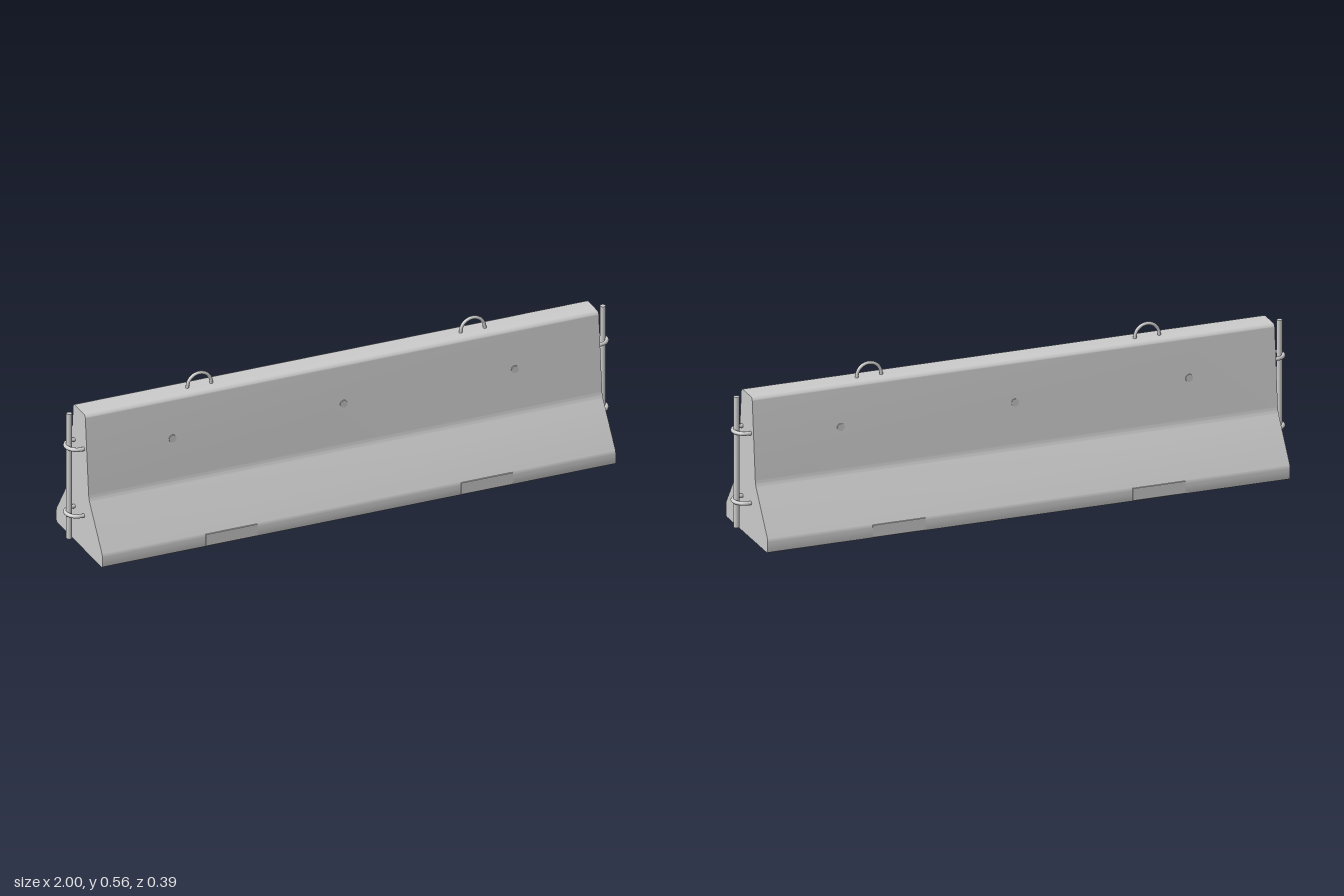
import * as THREE from 'three';
import { toCreasedNormals } from 'three/addons/utils/BufferGeometryUtils.js';

const material = new THREE.MeshStandardMaterial({ color: 0xcccccc });

function addMesh(parent, name, geometry, x = 0, y = 0, z = 0) {
  const mesh = new THREE.Mesh(geometry, material);
  mesh.name = name;
  mesh.position.set(x, y, z);
  parent.add(mesh);
  return mesh;
}

// Closed shape with every corner [x, y, fillet length] rounded off
function roundedShape(corners) {
  const shape = new THREE.Shape();
  const n = corners.length;
  corners.forEach(([x, y, r], i) => {
    const here = new THREE.Vector2(x, y);
    const towards = ([px, py]) =>
      new THREE.Vector2(px, py).sub(here).setLength(r).add(here);
    const a = towards(corners[(i + n - 1) % n]);
    const b = towards(corners[(i + 1) % n]);
    if (i === 0) shape.moveTo(a.x, a.y);
    else shape.lineTo(a.x, a.y);
    shape.quadraticCurveTo(x, y, b.x, b.y);
  });
  shape.closePath();
  return shape;
}

// Bent rod: half circle with two straight legs pointing down
function archGeometry(radius, leg, rod) {
  const points = [new THREE.Vector3(radius, -leg, 0), new THREE.Vector3(radius, -leg / 2, 0)];
  for (let i = 0; i <= 8; i++) {
    const a = (i / 8) * Math.PI;
    points.push(new THREE.Vector3(Math.cos(a) * radius, Math.sin(a) * radius, 0));
  }
  points.push(new THREE.Vector3(-radius, -leg / 2, 0), new THREE.Vector3(-radius, -leg, 0));
  return new THREE.TubeGeometry(new THREE.CatmullRomCurve3(points), 40, rod, 12);
}

export function createModel() {
  const model = new THREE.Group();
  model.name = 'concreteBarrier';

  // Concrete body: stepped profile swept along x
  const half = [
    [0.191, 0, 0.01],
    [0.191, 0.048, 0.014],
    [0.079, 0.208, 0.016],
    [0.049, 0.51, 0.012],
  ];
  const mirrored = half.map(([x, y, r]) => [-x, y, r]).reverse();
  const length = 1.89;
  const body = new THREE.ExtrudeGeometry(roundedShape([...half, ...mirrored]), {
    depth: length, bevelEnabled: false, curveSegments: 6,
  });
  body.translate(0, 0, -length / 2).rotateY(Math.PI / 2);
  addMesh(model, 'body', toCreasedNormals(body, 0.6));

  // Lifting loops on the top
  const liftingLoop = archGeometry(0.044, 0.03, 0.006);
  for (const x of [-0.503, 0.503]) addMesh(model, 'liftingLoop', liftingLoop, x, 0.513, 0);

  // Connecting pin held by two rod loops at each end
  const endLoop = archGeometry(0.0385, 0.03, 0.007);
  const pin = new THREE.CylinderGeometry(0.01, 0.01, 0.47, 20);
  for (const side of [-1, 1]) {
    addMesh(model, 'connectingPin', pin, side * 0.982, 0.268, 0);
    for (const y of [0.128, 0.379]) {
      const loop = addMesh(model, 'endLoop', endLoop, side * 0.9545, y, 0);
      loop.rotation.set(Math.PI / 2, 0, -side * Math.PI / 2);
    }
  }

  // Base plates and round plugs on both long faces
  const plate = new THREE.BoxGeometry(0.19, 0.043, 0.01);
  const plug = new THREE.CylinderGeometry(0.0135, 0.0135, 0.012, 20).rotateX(Math.PI / 2);
  for (const side of [-1, 1]) {
    for (const x of [-0.47, 0.47]) addMesh(model, 'basePlate', plate, x, 0.027, side * 0.188);
    for (const x of [-0.63, 0, 0.63]) addMesh(model, 'plug', plug, x, 0.365, side * 0.06);
  }

  return model;
}
